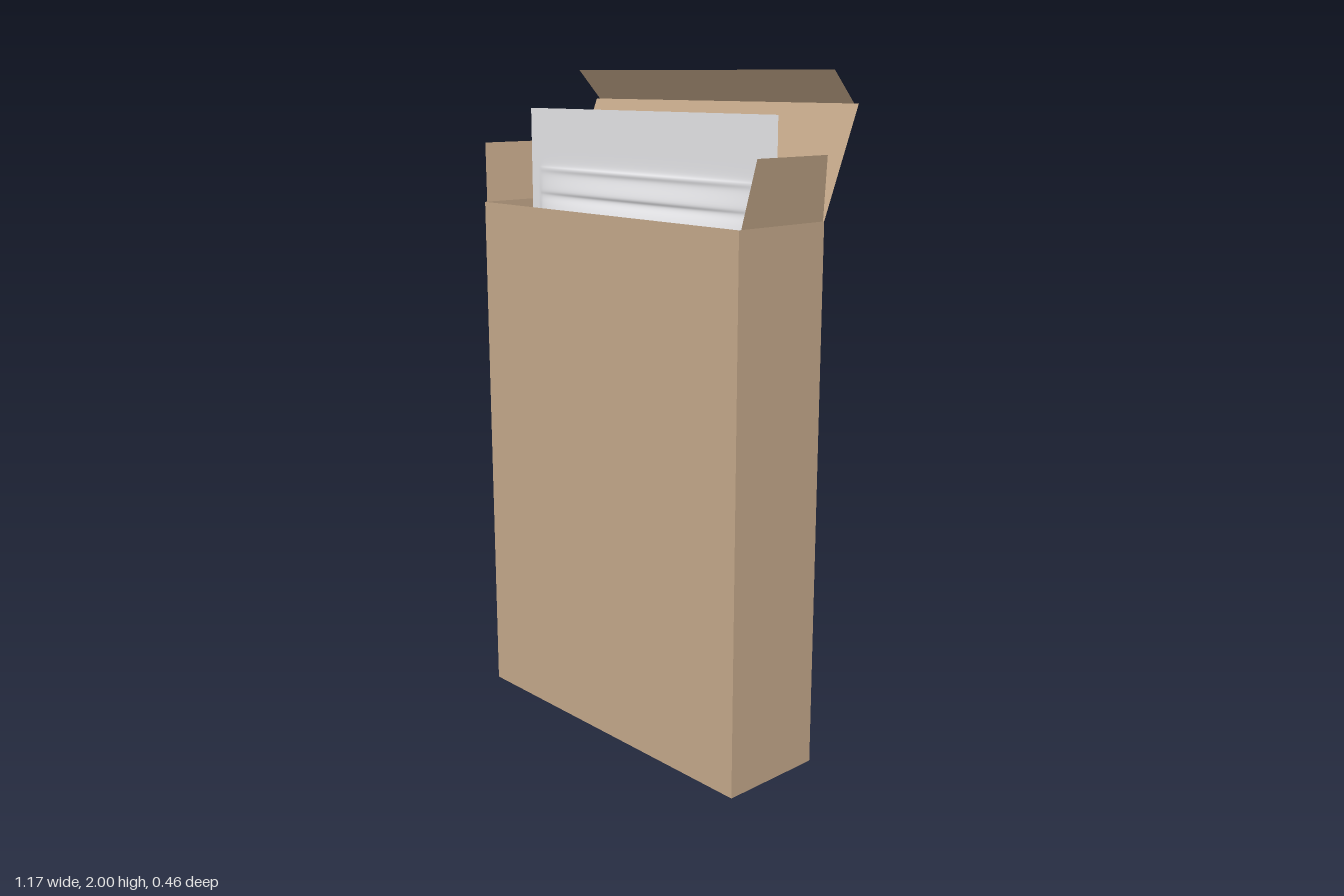
import * as THREE from 'three';

const W = 0.553, H = 1.6, BACK = -0.10, FRONT = 0.23; // carton half width, height, depth range

export function createModel() {
  const model = new THREE.Group();
  const cardboard = new THREE.MeshStandardMaterial({ color: 0xc4a88a, side: THREE.DoubleSide });
  cardboard.name = 'cardboard';
  const paleGrey = new THREE.MeshStandardMaterial({ color: 0xf0f0f3, side: THREE.DoubleSide });
  paleGrey.name = 'pale grey';

  const add = (name, geometry, material) => {
    const mesh = new THREE.Mesh(geometry, material);
    mesh.name = name;
    model.add(mesh);
  };
  // Flat sheet from four corners, counter-clockwise seen from outside
  const sheet = (name, a, b, c, d, material = cardboard) => {
    const g = new THREE.BufferGeometry();
    g.setAttribute('position', new THREE.Float32BufferAttribute([...a, ...b, ...c, ...d], 3));
    g.setIndex([0, 1, 2, 0, 2, 3]);
    g.computeVertexNormals();
    add(name, g, material);
  };

  // Open carton
  sheet('frontPanel', [-W, 0, FRONT], [W, 0, FRONT], [W, H, FRONT], [-W, H, FRONT]);
  sheet('backPanel', [W, 0, BACK], [-W, 0, BACK], [-W, H, BACK], [W, H, BACK]);
  sheet('bottomPanel', [-W, 0, BACK], [W, 0, BACK], [W, 0, FRONT], [-W, 0, FRONT]);

  // Side panels with tapered dust flaps leaning outwards
  for (const [side, s] of [['left', 1], ['right', -1]]) {
    const [p, q] = s > 0 ? [FRONT, BACK] : [BACK, FRONT];
    const x = s * W, tip = s * 0.585;
    const [b0, b1] = s > 0 ? [0.222, -0.095] : [-0.095, 0.222];
    const [t0, t1] = s > 0 ? [0.2, -0.07] : [-0.07, 0.2];
    sheet(side + 'Panel', [x, 0, p], [x, 0, q], [x, H, q], [x, H, p]);
    sheet(side + 'DustFlap', [x, H, b0], [x, H, b1], [tip, 1.78, t1], [tip, 1.78, t0]);
  }

  // Lid and its tuck-in edge
  const T = 0.537;
  sheet('lid', [W, H, BACK], [-W, H, BACK], [-W, 1.91, -0.23], [W, 1.91, -0.23]);
  sheet('tuckFlap', [T, 1.91, -0.23], [-T, 1.91, -0.23], [-T, 2, -0.145], [T, 2, -0.145]);

  // Blank label on the back
  const L = 0.208, lz = BACK - 0.003;
  sheet('label', [L, 0.17, lz], [-L, 0.17, lz], [-L, 0.47, lz], [L, 0.47, lz], paleGrey);

  // Pouch: two bulging sheets joined at flat seals, from [height, half depth]
  const profile = [
    [0.03, 0.002], [0.09, 0.003], [0.2, 0.07], [0.4, 0.125], [0.8, 0.14], [1.1, 0.13],
    [1.35, 0.1], [1.5, 0.065], [1.58, 0.036], [1.615, 0.018], [1.635, 0.022], [1.68, 0.008],
    [1.7, 0.01], [1.72, 0.003], [1.8, 0.002], [1.885, 0.002],
  ];
  const rows = new THREE.SplineCurve(profile.map(([y, d]) => new THREE.Vector2(y, d))).getPoints(90);
  const half = 0.525, bulge = 0.485, columns = 64;
  for (const s of [1, -1]) {
    const g = new THREE.PlaneGeometry(2, 2, columns, rows.length - 1);
    const pos = g.attributes.position;
    for (let i = 0; i < pos.count; i++) {
      const row = rows[rows.length - 1 - Math.floor(i / (columns + 1))];
      const u = pos.getX(i);
      const x = half * Math.sin(u * Math.PI / 2) * s;
      const round = Math.sqrt(Math.max(0, 1 - (x / bulge) ** 2));
      const depth = 0.0015 + Math.max(0, row.y - 0.0015) * round;
      pos.setXYZ(i, x, row.x, 0.062 + s * depth);
    }
    g.computeVertexNormals();
    add(s > 0 ? 'pouchFront' : 'pouchBack', g, paleGrey);
  }
  return model;
}
